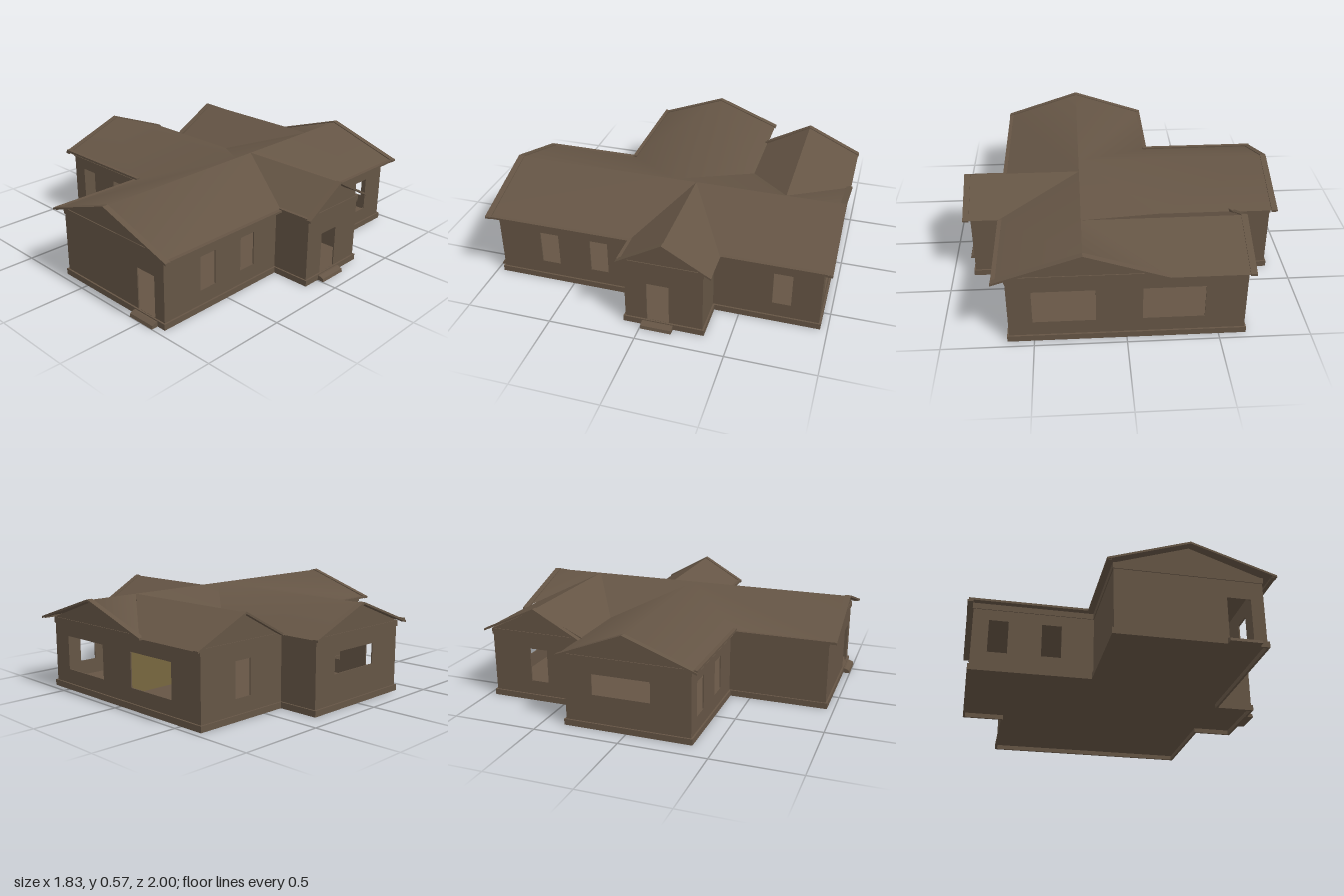
import * as THREE from 'three';
import { mergeVertices } from 'three/addons/utils/BufferGeometryUtils.js';

export function createModel() {
  const house = new THREE.Group();
  house.name = 'house';
  const brown = new THREE.MeshStandardMaterial({ color: 0x655545, side: THREE.DoubleSide });
  brown.name = 'brown';
  const olive = new THREE.MeshStandardMaterial({ color: 0x77673f });
  olive.name = 'olive';

  const add = (name, geo, mat = brown, parent = house) => {
    const m = new THREE.Mesh(geo, mat);
    m.name = name;
    parent.add(m);
    return m;
  };
  // Box given by its lower and upper corners
  const box = (name, a, b, mat) =>
    add(name, new THREE.BoxGeometry(b[0] - a[0], b[1] - a[1], b[2] - a[2]), mat)
      .position.set((a[0] + b[0]) / 2, (a[1] + b[1]) / 2, (a[2] + b[2]) / 2);
  const poly = (pts) => new THREE.Shape(pts.map(([x, y]) => new THREE.Vector2(x, y)));
  const extrude = (shape, depth) => new THREE.ExtrudeGeometry(shape, { depth, bevelEnabled: false });

  // Ground plan as [x, z], walked with the outside on the right
  const plan = [
    [-0.182, 0.95], [0.635, 0.95], [0.635, 0.095], [0.865, 0.095], [0.865, -0.348], [0.635, -0.348],
    [0.635, -0.95], [-0.64, -0.95], [-0.64, -0.36], [-0.88, -0.36], [-0.88, 0.37], [-0.182, 0.37],
  ];
  const n = plan.length;
  const normal = (i) => {
    const a = plan[(i + n) % n], b = plan[(i + 1) % n];
    return [-Math.sign(b[1] - a[1]), Math.sign(b[0] - a[0])];
  };
  // Plan grown by o, as a shape ready to be laid flat
  const grown = (o) => poly(plan.map(([x, z], i) => {
    const p = normal(i - 1), q = normal(i);
    return [x + o * (p[0] + q[0]), -(z + o * (p[1] + q[1]))];
  }));
  const flat = (name, shape, y, h) => {
    const g = extrude(shape, h);
    g.rotateX(-Math.PI / 2);
    g.translate(0, y, 0);
    add(name, g);
  };
  const ring = (outer, inner) => {
    const s = grown(outer);
    s.holes.push(grown(inner));
    return s;
  };

  // Skirting, raised floor, ceiling and the trim band below the eaves
  flat('skirting', ring(0.01, -0.003), 0, 0.035);
  flat('floor', grown(-0.003), 0.028, 0.004);
  flat('ceiling', grown(-0.008), 0.412, 0.004);
  flat('trimBand', ring(0.005, -0.003), 0.385, 0.035);

  // Walls: openings are [u0, u1, y0, y1] along the wall, gable is [start, apex, end]
  const H = 0.42, T = 0.007;
  const openings = {
    0: [[0.612, 0.745, 0.036, 0.28]],
    1: [[0.255, 0.368, 0.12, 0.32], [0.562, 0.67, 0.12, 0.32]],
    3: [[0.125, 0.252, 0.036, 0.28]],
    5: [[0.334, 0.44, 0.12, 0.32]],
    6: [[0.13, 0.47, 0.12, 0.32], [0.72, 1.055, 0.12, 0.32]],
    7: [[0.24, 0.35, 0.12, 0.32]],
    9: [[0.16, 0.5, 0.2, 0.32]],
    10: [[0.092, 0.204, 0.12, 0.32], [0.396, 0.51, 0.12, 0.32]],
  };
  const gables = {
    0: [0, 0.412, 0.817], 3: [0, 0.227, 0.443], 6: [0, 0.405, 0.817],
    7: [0, 0.29, 0.59], 9: [0, 0.36, 0.73],
  };
  plan.forEach((a, i) => {
    const b = plan[(i + 1) % n];
    const dx = b[0] - a[0], dz = b[1] - a[1], len = Math.hypot(dx, dz);
    const top = [[len, H]];
    if (gables[i]) {
      const [, m, e] = gables[i];
      if (e < len - 0.01) top.push([e, H]);
      top.push([m, 0.56]);
    }
    const shape = poly([[0, 0.03], [len, 0.03], ...top, [0, H]]);
    for (const [u0, u1, y0, y1] of openings[i] || []) {
      shape.holes.push(poly([[u0, y0], [u0, y1], [u1, y1], [u1, y0]]));
    }
    const g = extrude(shape, T);
    g.translate(0, 0, -T);
    const wall = add(gables[i] ? 'gableWall' : 'wall', g);
    wall.position.set(a[0], 0, a[1]);
    wall.rotation.y = Math.atan2(-dz, dx);
  });

  // Olive inner partitions
  box('backPartition', [0.06, 0.033, -0.94], [0.068, 0.411, -0.36], olive);
  box('frontPartition', [-0.174, 0.033, 0.4], [-0.168, 0.411, 0.942], olive);

  // Roof sheets: convex corner lists, fanned into triangles that face up
  const R = 0.568, E = 0.415;
  const sheet = (name, faces) => {
    const pos = [];
    for (const f of faces) {
      for (let k = 1; k < f.length - 1; k++) {
        const [a, b, c] = [f[0], f[k], f[k + 1]];
        const up = (b[2] - a[2]) * (c[0] - a[0]) - (b[0] - a[0]) * (c[2] - a[2]) > 0;
        pos.push(...a, ...(up ? b : c), ...(up ? c : b));
      }
    }
    const g = new THREE.BufferGeometry();
    g.setAttribute('position', new THREE.Float32BufferAttribute(pos, 3));
    return add(name, g);
  };
  const ridge = (x, z) => [x, R, z], eave = (x, z) => [x, E, z];
  const W = -0.222, M = 0.23, O = 0.7, F = 0.995;
  // Slopes of a cross wing between its valley at x0 and its gable end at x1
  const wing = (x0, x1, zBack, zRidge, zFront) => [zBack, zFront].map((z) =>
    [eave(x0, z), eave(x1, z), ridge(x1, zRidge), ridge(M, zRidge)]);
  const main = sheet('mainRoof', [
    [eave(O, F), ridge(M, F), ridge(M, -0.132), eave(O, 0.128)],
    [eave(O, -0.397), ridge(M, -0.132), ridge(M, -F), eave(O, -F)],
    [eave(W, F), eave(W, 0.41), ridge(M, 0), ridge(M, F)],
    [eave(W, -0.385), ridge(M, -0.66), ridge(M, 0)],
    [eave(W, -F), ridge(M, -0.66), ridge(M, -F)],
    ...wing(W, -0.915, -0.39, 0, 0.41),
  ]);
  main.geometry = mergeVertices(main.geometry);
  const small = [
    sheet('backWingRoof', wing(W, -0.67, -0.99, -0.66, -0.385)),
    sheet('porchRoof', wing(O, 0.9, -0.397, -0.132, 0.128)),
  ];
  [main, ...small].forEach((m) => m.geometry.computeVertexNormals());

  // Rake boards on the gable ends: bent strips with half widths w0 and w1
  const rake = (w0, w1, x, z, turn) => {
    const down = E - 0.007, up = E + 0.005, rise = R - E;
    const g = extrude(poly([
      [-w0, down], [0, down + rise], [w1, down], [w1, up], [0, up + rise], [-w0, up],
    ]), 0.035);
    const m = add('rakeBoard', g);
    m.position.set(x, 0, z);
    m.rotation.y = turn;
  };
  rake(0.455, 0.475, M, 0.963, 0);
  rake(0.455, 0.475, M, -0.998, 0);
  rake(0.412, 0.395, -0.918, 0, Math.PI / 2);
  rake(0.283, 0.333, -0.672, -0.66, Math.PI / 2);
  rake(0.262, 0.268, 0.868, -0.132, Math.PI / 2);

  // Eave boards along the open eaves
  box('eaveBoard', [-0.91, 0.419, 0.39], [-0.2, 0.432, 0.412]);
  box('eaveBoard', [0.68, 0.41, 0.108], [0.88, 0.426, 0.128]);
  box('eaveBoard', [-0.225, 0.41, 0.41], [-0.2, 0.422, 0.99]);
  box('eaveBoard', [0.68, 0.41, 0.13], [0.703, 0.422, 0.99]);
  box('eaveBoard', [0.68, 0.41, -0.99], [0.703, 0.422, -0.4]);

  // Door steps with a sloped front edge
  const step = (x, z, width, turn) => {
    const g = extrude(poly([[0, 0], [0.055, 0], [0.05, 0.018], [0.025, 0.029], [0, 0.029]]), width);
    const m = add('doorStep', g);
    m.position.set(x, 0, z);
    m.rotation.y = turn;
  };
  step(0.59, 0.945, 0.175, -Math.PI / 2);
  step(0.86, -0.182, 0.177, 0);
  return house;
}
